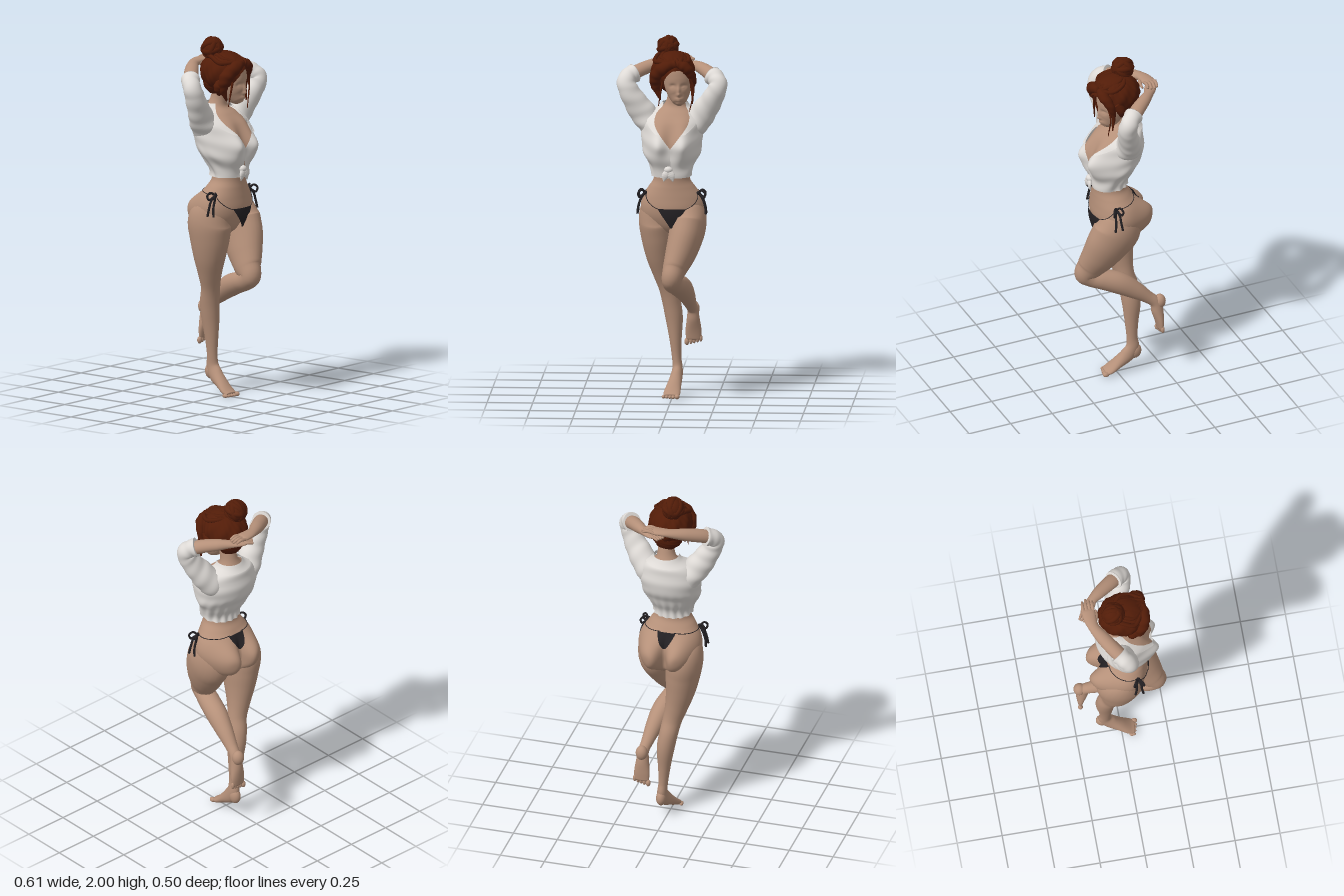
import * as THREE from 'three';
import { mergeVertices } from 'three/addons/utils/BufferGeometryUtils.js';

const V = (x, y, z) => new THREE.Vector3(x, y, z);
const X = V(1, 0, 0), Y = V(0, 1, 0), Z = V(0, 0, 1), TAU = Math.PI * 2;
const bell = (d, s) => Math.exp(-((d / s) ** 2));
const { smoothstep, clamp } = THREE.MathUtils;
const mat = (name, color, side = THREE.FrontSide) =>
  Object.assign(new THREE.MeshStandardMaterial({ color, side }), { name });

// Smooth grid surface from a rule (u, v) -> point
function sheet(fn, nu, nv) {
  const pos = [], idx = [];
  for (let j = 0; j <= nv; j++)
    for (let i = 0; i <= nu; i++) {
      pos.push(...fn(i / nu, j / nv).toArray());
      const a = j * (nu + 1) + i, c = a + nu + 1;
      if (i < nu && j < nv) idx.push(a, a + 1, c + 1, a, c + 1, c);
    }
  let g = new THREE.BufferGeometry();
  g.setAttribute('position', new THREE.Float32BufferAttribute(pos, 3));
  g.setIndex(idx);
  g = mergeVertices(g, 1e-5);
  g.computeVertexNormals();
  return g;
}

// Splines through sections [x, y, z, radiusA, radiusB]
const sections = list => ({
  c: new THREE.CatmullRomCurve3(list.map(s => V(s[0], s[1], s[2]))),
  r: new THREE.CatmullRomCurve3(list.map(s => V(s[3], s[4] ?? s[3], 0)), false, 'catmullrom'),
});

// Closed limb: elliptical rings square to the path, radiusA lies along ref
function limb(list, ref = X, ripple = 0, nu = 24) {
  const { c, r } = sections(list), n = list.length * 6;
  return sheet((u, v) => {
    const j = Math.round(v * (n + 2)), t = clamp((j - 1) / n, 0, 1), p = c.getPoint(t);
    if (j === 0 || j === n + 2) return p;
    const tan = c.getTangent(t), q = r.getPoint(t), a = u * TAU;
    const side = ref.clone().addScaledVector(tan, -ref.dot(tan)).normalize();
    const k = 1 + ripple * (Math.sin(t * 42 + 2 * Math.sin(a)) + 0.6 * Math.sin(3 * a + t * 17));
    return p.addScaledVector(side, q.x * k * Math.cos(a)).addScaledVector(tan.cross(side), q.y * k * Math.sin(a));
  }, nu, n + 2);
}

// Trunk from hips to neck, addressed by height and angle from the front
const trunk = sections([
  [0.01, 0.9, -0.01, 0.05, 0.05], [0.01, 0.94, 0, 0.12, 0.1], [0.005, 1, 0.01, 0.165, 0.12], [0.005, 1.06, 0.015, 0.177, 0.128],
  [0.003, 1.12, 0.02, 0.163, 0.12], [0, 1.18, 0.035, 0.125, 0.1], [0, 1.22, 0.045, 0.1, 0.088],
  [0, 1.28, 0.045, 0.101, 0.092], [-0.002, 1.36, 0.02, 0.143, 0.108], [-0.002, 1.45, -0.01, 0.155, 0.12],
  [0, 1.53, -0.02, 0.15, 0.11], [0.005, 1.58, -0.038, 0.11, 0.085], [0.01, 1.61, -0.045, 0.065, 0.058],
  [0.015, 1.65, -0.038, 0.047, 0.048], [0.02, 1.72, -0.02, 0.045, 0.048]]);
function body(y, a, off = 0) {
  let lo = 0, hi = 1;
  for (let i = 0; i < 18; i++) {
    const m = (lo + hi) / 2;
    if (trunk.c.getPoint(m).y < y) lo = m; else hi = m;
  }
  const p = trunk.c.getPoint(lo), r = trunk.r.getPoint(lo);
  const x = (r.x + off) * Math.sin(a), c = Math.cos(a), w = Math.abs(x);
  const bust = 0.08 * bell(y - 1.415, y > 1.415 ? 0.105 : 0.09) * (bell(w - 0.075, 0.06) + bell(w + 0.075, 0.06));
  const round = (((w - 0.088) / 0.078) ** 2 + ((y - 1.022) / 0.1) ** 2) ** 1.6;
  const seat = 0.086 * Math.exp(-round) - 0.025 * bell(x, 0.022) * bell(y - 1.02, 0.08);
  return V(p.x + x, y, p.z + (r.y + off) * c + Math.sqrt(Math.abs(c)) * (c > 0 ? bust : -seat));
}

export function createModel() {
  const model = new THREE.Group();
  const skin = mat('skin', 0xb59079), cloth = mat('white cloth', 0xdedad6, THREE.DoubleSide);
  const hair = mat('auburn hair', 0x521c08, THREE.DoubleSide), black = mat('black fabric', 0x232023, THREE.DoubleSide);
  const add = (name, geo, m) => {
    const mesh = new THREE.Mesh(geo, m);
    mesh.name = name;
    model.add(mesh);
    return mesh;
  };
  const ball = (name, m, x, y, z, rx, ry = rx, rz = rx) => {
    const b = add(name, new THREE.SphereGeometry(1, 28, 20), m);
    b.position.set(x, y, z);
    b.scale.set(rx, ry, rz);
  };
  const cord = (name, pts, r, m) => add(name, new THREE.TubeGeometry(new THREE.CatmullRomCurve3(pts), 28, r, 7), m);

  // Trunk, standing leg on its toes, raised leg with pointed foot
  add('torso', sheet((u, v) => body(0.9 + v * 0.815, u * TAU), 96, 110), skin);
  add('standingLeg', limb([[-0.075, 1.13, 0.01, 0.05, 0.06], [-0.085, 1.06, 0.005, 0.086, 0.1], [-0.085, 0.98, -0.018, 0.1, 0.132],
    [-0.077, 0.88, -0.027, 0.094, 0.118], [-0.066, 0.78, -0.037, 0.08, 0.094], [-0.046, 0.68, -0.05, 0.063, 0.067],
    [-0.026, 0.6, -0.062, 0.053, 0.053], [-0.01, 0.52, -0.08, 0.051, 0.056], [0.004, 0.43, -0.088, 0.048, 0.053],
    [0.012, 0.31, -0.086, 0.034, 0.039], [0.018, 0.21, -0.086, 0.026, 0.031], [0.023, 0.15, -0.086, 0.028, 0.038],
    [0.019, 0.105, -0.06, 0.033, 0.042], [0.008, 0.06, -0.005, 0.04, 0.029], [0, 0.027, 0.04, 0.046, 0.02], [-0.003, 0.014, 0.07, 0.04, 0.013]]), skin);
  ball('standingHeel', skin, 0.025, 0.122, -0.1, 0.028, 0.045, 0.037);
  add('raisedLeg', limb([[0.08, 1.13, 0.015, 0.05, 0.06], [0.088, 1.06, 0.022, 0.087, 0.105], [0.09, 0.98, 0.036, 0.1, 0.138],
    [0.077, 0.9, 0.078, 0.095, 0.13], [0.05, 0.81, 0.122, 0.083, 0.108], [0.022, 0.735, 0.163, 0.066, 0.083],
    [0.009, 0.688, 0.19, 0.056, 0.062], [0.013, 0.66, 0.158, 0.056, 0.056], [0.03, 0.64, 0.1, 0.059, 0.058],
    [0.055, 0.605, 0.01, 0.057, 0.062], [0.075, 0.55, -0.075, 0.046, 0.05], [0.09, 0.495, -0.145, 0.034, 0.035],
    [0.1, 0.455, -0.188, 0.03, 0.032], [0.102, 0.4, -0.2, 0.036, 0.033], [0.103, 0.335, -0.21, 0.044, 0.022], [0.103, 0.285, -0.214, 0.041, 0.013]]), skin);
  ball('raisedHeel', skin, 0.103, 0.457, -0.214, 0.033, 0.042, 0.033);
  for (let i = 0; i < 5; i++) {
    const r = i ? 0.01 : 0.0135, d = i * 0.018 + (i ? 0.004 : 0);
    ball('standingToe', skin, 0.031 - d, r, 0.076 - i * 0.005, r, r, 0.018);
    ball('raisedToe', skin, 0.066 + d, 0.272 + i * 0.005, -0.215, r, 0.02, r);
  }

  // Forearms folded behind the head, each with its flat hand
  add('rightForearm', limb([[-0.25, 1.755, -0.005, 0.032], [-0.21, 1.787, -0.05, 0.037, 0.04], [-0.12, 1.82, -0.118, 0.034, 0.038],
    [-0.055, 1.838, -0.16, 0.024, 0.03], [-0.01, 1.847, -0.173, 0.018, 0.034], [0.035, 1.85, -0.176, 0.015, 0.037],
    [0.055, 1.85, -0.177, 0.009, 0.032]], Y), skin);
  add('leftForearm', limb([[0.252, 1.75, 0.035, 0.032], [0.215, 1.785, -0.015, 0.037, 0.04], [0.15, 1.812, -0.1, 0.032, 0.034],
    [0.115, 1.82, -0.14, 0.024, 0.027], [0.08, 1.823, -0.165, 0.017, 0.032], [0.045, 1.825, -0.187, 0.013, 0.032],
    [0.03, 1.826, -0.195, 0.009, 0.026]], Y), skin);
  for (let i = 0; i < 4; i++) {
    const z = -0.203 + i * 0.018, k = (i - 1.5) * 0.014, tip = 0.115 - 0.01 * Math.abs(i - 1.3);
    add('rightFinger', limb([[0.035, 1.85, z, 0.009], [0.075, 1.857, z, 0.009], [tip, 1.845, z + 0.004, 0.006]], Y, 0, 10), skin);
    add('leftFinger', limb([[0.045 + k * 0.55, 1.826, -0.185 - k * 0.83, 0.009], [0.02 + k * 0.6, 1.83, -0.2 - k * 0.83, 0.008],
      [-0.004 + k * 0.6, 1.826, -0.215 - k * 0.8, 0.006]], Y, 0, 10), skin);
  }
  add('rightThumb', limb([[-0.02, 1.84, -0.15, 0.012], [0.02, 1.83, -0.135, 0.01], [0.05, 1.825, -0.135, 0.006]], Y, 0, 10), skin);

  // Head, its face shaped by soft bumps [x, y, width, height, depth]
  const head = limb([[0.043, 1.636, 0.088, 0.015, 0.02], [0.042, 1.65, 0.08, 0.036, 0.04], [0.039, 1.685, 0.061, 0.058, 0.064],
    [0.035, 1.73, 0.047, 0.073, 0.078], [0.032, 1.78, 0.037, 0.079, 0.09], [0.025, 1.84, 0.03, 0.074, 0.088], [0.02, 1.89, 0.02, 0.045, 0.05]], X, 0, 90);
  const bumps = [[0.042, 1.718, 0.009, 0.026, 0.011], [0.043, 1.696, 0.012, 0.01, 0.014], [0.009, 1.742, 0.017, 0.011, -0.012],
    [0.07, 1.742, 0.017, 0.011, -0.012], [0.01, 1.738, 0.011, 0.006, 0.007], [0.069, 1.738, 0.011, 0.006, 0.007],
    [0.043, 1.672, 0.018, 0.005, 0.009], [0.043, 1.661, 0.015, 0.005, 0.009], [0.043, 1.643, 0.015, 0.008, 0.005]];
  const hp = head.attributes.position;
  for (let i = 0; i < hp.count; i++) {
    const x = hp.getX(i), y = hp.getY(i), z = hp.getZ(i);
    if (z > 0.07) hp.setZ(i, bumps.reduce((s, [bx, by, w, h, d]) => s + d * bell(x - bx, w) * bell(y - by, h), z));
  }
  head.computeVertexNormals();
  add('head', head, skin);

  // Swept-back hair with a raised hairline over the face
  add('hairCap', sheet((u, v) => {
    const a = (u * 2 - 1) * Math.PI, p = (1.38 + 1.15 * smoothstep(Math.abs(a - 0.25), 0.1, 1.25)) * (1 - v);
    const s = Math.sin(p), k = s * (1 + s * (0.02 * Math.sin(a * 9 + p * 5) + 0.014 * Math.sin(a * 23 - p * 7)));
    return V(0.004 + 0.119 * k * Math.sin(a), 1.81 + 0.11 * Math.cos(p), 0.008 + 0.136 * k * Math.cos(a));
  }, 130, 36), hair);
  add('napeHair', limb([[0.015, 1.69, -0.05, 0.05, 0.04], [0.01, 1.73, -0.045, 0.085, 0.065], [0.005, 1.8, -0.03, 0.1, 0.085]], X, 0.02), hair);
  [[[0.03, 1.865, 0.118, 0.02], [-0.035, 1.845, 0.12, 0.034], [-0.083, 1.795, 0.095, 0.036], [-0.083, 1.73, 0.075, 0.024], [-0.06, 1.66, 0.08, 0.004]],
    [[0.03, 1.865, 0.118, 0.02], [0.078, 1.845, 0.11, 0.03], [0.11, 1.795, 0.085, 0.024], [0.114, 1.73, 0.068, 0.012], [0.115, 1.64, 0.075, 0.003]],
    [[-0.05, 1.8, 0.085, 0.025], [-0.088, 1.74, 0.05, 0.03], [-0.065, 1.69, 0.03, 0.01]],
    [[0.1, 1.8, 0.05, 0.025], [0.108, 1.75, 0.02, 0.025], [0.085, 1.7, 0.01, 0.01]],
    [[-0.03, 1.82, 0.11, 0.007], [-0.052, 1.74, 0.11, 0.006], [-0.07, 1.63, 0.1, 0.002]],
    [[0.095, 1.8, 0.1, 0.007], [0.122, 1.73, 0.09, 0.005], [0.1, 1.6, 0.095, 0.002]],
  ].forEach(l => add('hairLock', limb(l, X, 0.06, 16), hair));
  for (let i = 0; i < 6; i++) {
    const x = -0.09 + i * 0.036;
    cord('hairStrand', [V(0.03 + x * 0.35, 1.872, 0.115), V(x, 1.896 - x * x * 3, 0.06), V(x * 0.9, 1.91 - x * x * 2, 0), V(-0.03 + x * 0.3, 1.9, -0.05)], 0.013, hair);
  }

  // Bun with wound coils
  ball('bun', hair, -0.027, 1.935, -0.05, 0.057, 0.058, 0.06);
  [[1.5, 0.3], [0.9, -0.5], [0.4, 0.6], [1.9, 1.1], [0.1, 1.5]].forEach(([rx, ry]) => {
    const coil = add('bunCoil', new THREE.TorusGeometry(0.048, 0.017, 10, 36), hair);
    coil.position.set(-0.027, 1.935, -0.05);
    coil.rotation.set(rx, ry, 0);
  });

  // Shirt: open V at the front, folds gathered towards the knot
  const gap = y => y > 1.4 ? (y - 1.4) * 4.6 : Math.max(0, 1.26 - y) * 5;
  const arc = (y, u) => gap(y) + u * (TAU - 2 * gap(y));
  const fold = (y, a) => 0.013 + 0.004 * Math.sin(a * 8 + y * 40 * Math.cos(a / 2)) * smoothstep(1.45 - y, 0, 0.2) + 0.002 * Math.sin(y * 70 + 3 * Math.cos(a));
  add('shirtBody', sheet((u, v) => {
    const y = 1.237 + v * 0.388, a = arc(y, u);
    return body(y, a, fold(y, a));
  }, 120, 64), cloth);
  add('collar', sheet((u, v) => body(1.59 + v * 0.042, arc(1.59 + v * 0.042, u), 0.024 - 0.006 * v), 50, 5), cloth);
  for (const s of [-1, 1])
    add('lapel', sheet((u, v) => {
      const y = 1.48 + v * 0.13, w = 0.3 * Math.sin(Math.PI * (0.1 + 0.75 * v));
      return body(y, s * (gap(y) + u * w), 0.018 + 0.005 * u);
    }, 6, 18), cloth);
  add('rightSleeve', limb([[-0.085, 1.44, -0.02, 0.07, 0.05], [-0.122, 1.51, -0.025, 0.078, 0.066], [-0.163, 1.575, -0.018, 0.066, 0.072],
    [-0.203, 1.635, -0.005, 0.058, 0.064], [-0.24, 1.7, 0.002, 0.054, 0.055], [-0.254, 1.748, -0.005, 0.05], [-0.237, 1.775, -0.03, 0.048],
    [-0.212, 1.786, -0.05, 0.053]], Z, 0.025, 30), cloth);
  add('leftSleeve', limb([[0.085, 1.44, -0.015, 0.07, 0.05], [0.122, 1.505, -0.015, 0.078, 0.066], [0.163, 1.57, -0.003, 0.064, 0.072],
    [0.203, 1.63, 0.02, 0.055, 0.064], [0.238, 1.695, 0.04, 0.053, 0.055], [0.255, 1.742, 0.042, 0.05], [0.24, 1.772, 0.018, 0.048],
    [0.221, 1.783, -0.005, 0.053]], Z, 0.025, 30), cloth);

  // Knot and tails
  ball('shirtKnot', cloth, -0.012, 1.285, 0.155, 0.024, 0.019, 0.02);
  for (const s of [-1, 1])
    add('knotTail', limb([[-0.012, 1.285, 0.157, 0.012], [-0.012 + s * 0.016, 1.255, 0.165, 0.02, 0.009], [-0.012 + s * 0.026, 1.222, 0.163, 0.003]], X, 0.05, 14), cloth);

  // Tied swim bottoms
  add('frontPanel', sheet((u, v) => body(0.958 + v * 0.107, (u * 2 - 1) * (0.08 + 0.36 * v ** 1.3), 0.006 + 0.022 * (1 - v)), 16, 16), black);
  add('backPanel', sheet((u, v) => body(1.075 + v * 0.085, Math.PI + (u * 2 - 1) * (0.03 + 0.33 * v), 0.006), 12, 12), black);
  for (const s of [-1, 1]) {
    const path = (y0, y1, a0, a1) => Array.from({ length: 9 }, (_, i) =>
      body(y0 + (y1 - y0) * (i / 8) ** 1.4, s * (a0 + (a1 - a0) * i / 8), 0.002));
    cord('frontString', path(1.063, 1.145, 0.42, 1.2), 0.002, black);
    cord('backString', path(1.145, 1.16, 1.2, Math.PI - 0.3), 0.002, black);
    const k = body(1.145, s * 1.2, 0.008), at = (x, y, z) => V(k.x + s * x, k.y + y, k.z + z);
    ball('tieKnot', black, k.x, k.y, k.z, 0.011);
    for (const d of [-1, 1]) {
      cord('tieLoop', [at(0, 0, 0), at(0.02, 0.016, d * 0.016), at(0.037, 0, d * 0.027), at(0.03, -0.024, d * 0.022), at(0, 0, 0)], 0.006, black);
      cord('tieEnd', [at(0, 0, 0), at(0.022, -0.03, d * 0.012), at(0.036, -0.07, d * 0.015), at(0.042, -0.115, d * 0.022)], 0.0065, black);
    }
  }
  return model;
}
